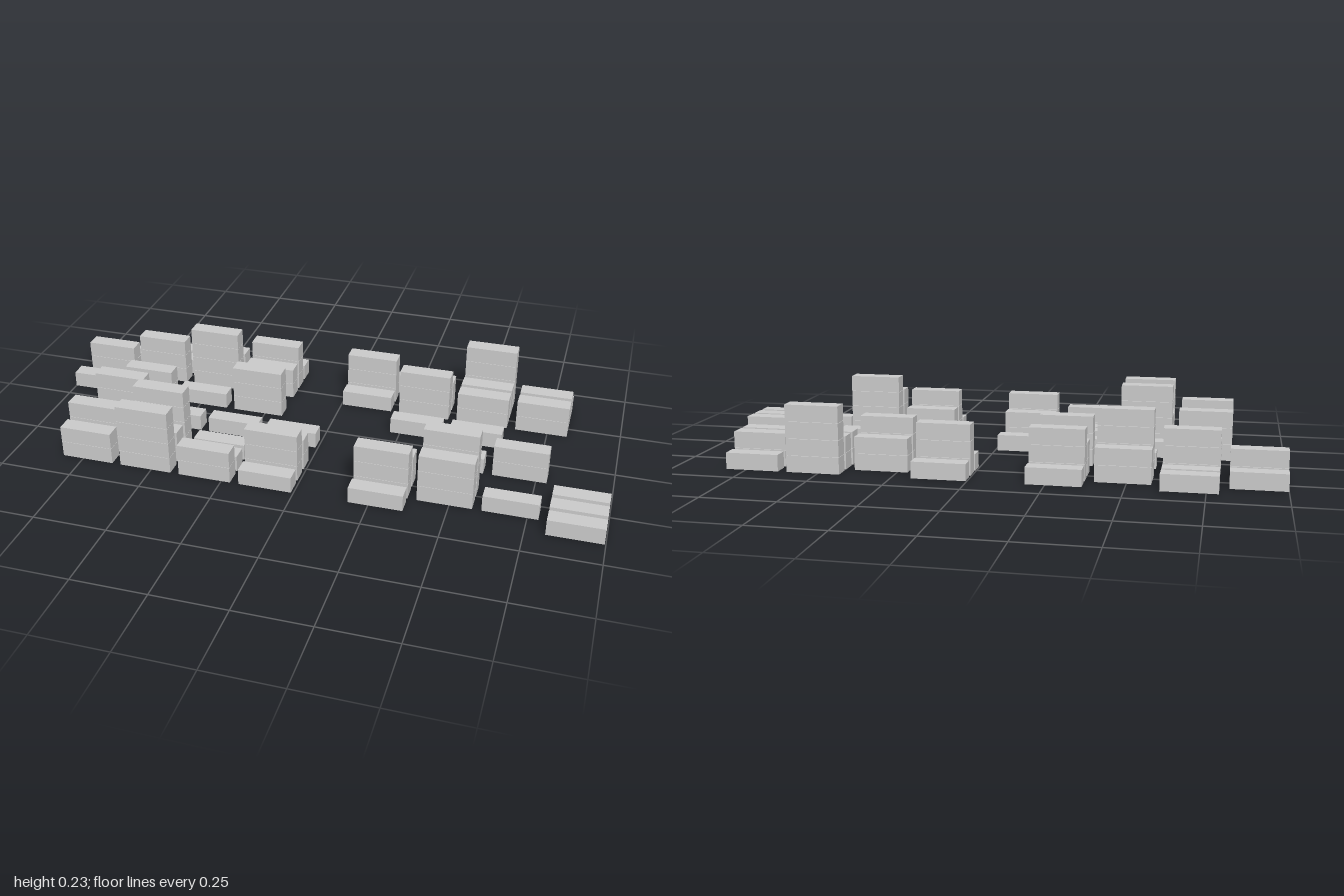
import * as THREE from 'three';

// Container size and stacking pitch
const LENGTH = 0.181, HEIGHT = 0.0555, DEPTH = 0.055;
const PITCH_X = 0.211, PITCH_Y = 0.0567;

// Yard blocks: first column centre, and stack heights per row (one digit per column)
const blocks = [
  { name: 'frontRightBlock', x: -0.732, rows: [[0.369, '2421'], [0.297, '3213'], [0.225, '2412'], [0.085, '3111']] },
  { name: 'frontLeftBlock', x: 0.273, rows: [[0.369, '1001'], [0.297, '3311'], [0.225, '2401'], [0.085, '0120']] },
  { name: 'backRightBlock', x: -0.9095, rows: [[-0.085, '1213'], [-0.225, '2342'], [-0.297, '1123'], [-0.369, '0101']] },
  { name: 'backLeftBlock', x: 0.095, rows: [[-0.085, '0110'], [-0.225, '1322'], [-0.297, '3222'], [-0.369, '1041']] },
];

export function createModel() {
  const model = new THREE.Group();
  model.name = 'containerYard';
  const material = new THREE.MeshStandardMaterial({ color: 0xcccccc, flatShading: true });
  const geometry = new THREE.BoxGeometry(LENGTH, HEIGHT, DEPTH);
  geometry.translate(0, HEIGHT / 2, 0);

  for (const { name, x, rows } of blocks) {
    const block = new THREE.Group();
    block.name = name;
    for (const [z, heights] of rows) {
      [...heights].forEach((count, column) => {
        // One stack of containers with a thin gap between levels
        for (let level = 0; level < Number(count); level++) {
          const container = new THREE.Mesh(geometry, material);
          container.name = 'container';
          container.position.set(x + column * PITCH_X, level * PITCH_Y, z);
          block.add(container);
        }
      });
    }
    model.add(block);
  }
  return model;
}
